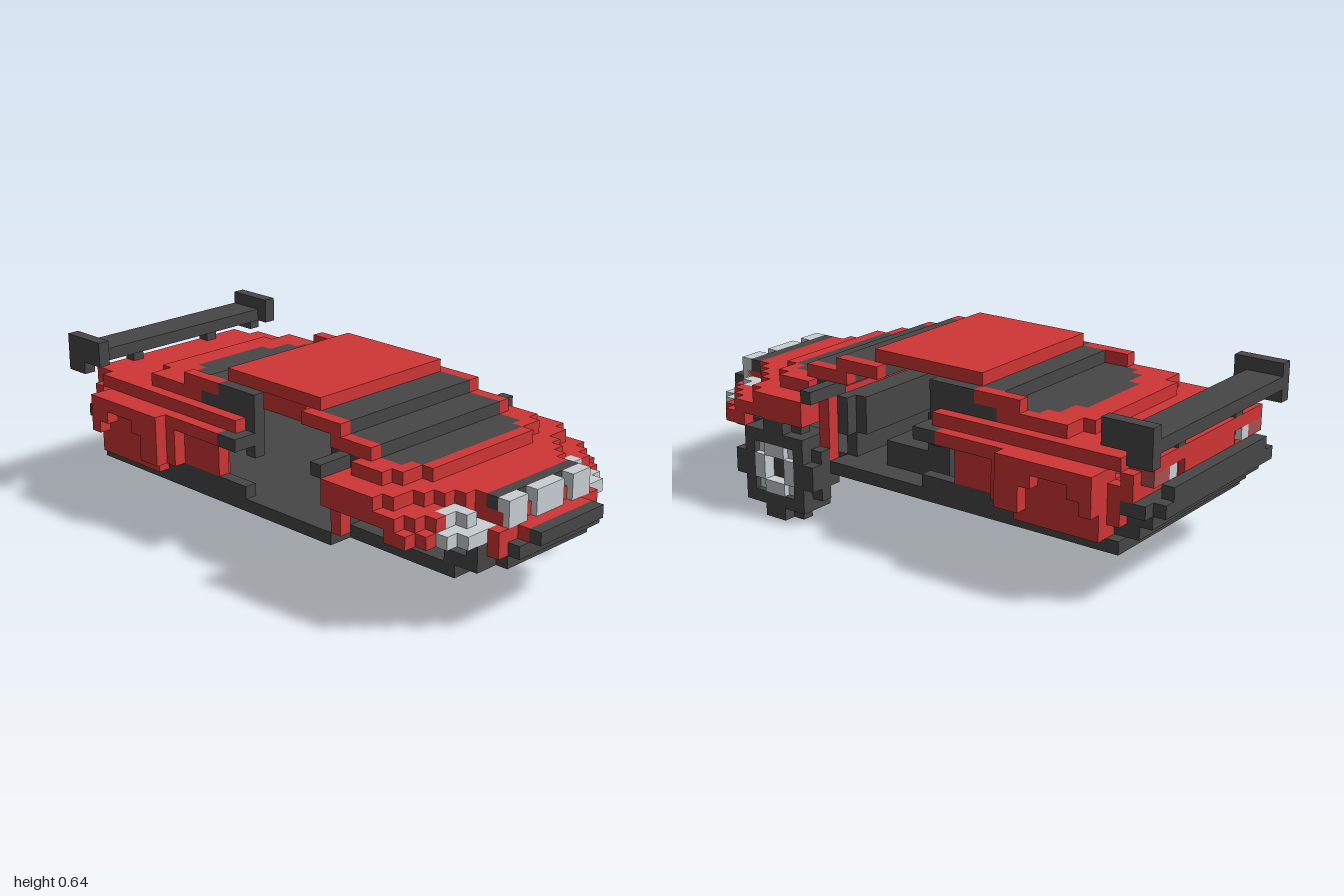
import * as THREE from 'three';

const V = 1 / 22; // one block

export function createModel() {
  const car = new THREE.Group();
  car.name = 'blockCar';
  const mat = (name, color) => {
    const m = new THREE.MeshStandardMaterial({ color });
    m.name = name;
    return m;
  };
  const red = mat('redPaint', 0xd03535);
  const dark = mat('darkTrim', 0x464646);
  const silver = mat('silver', 0xc8cfd2);
  const lampRed = mat('tailLampRed', 0xa85050);

  // Box between block coordinates
  function box(name, m, x0, x1, y0, y1, z0, z1) {
    const mesh = new THREE.Mesh(new THREE.BoxGeometry((x1 - x0) * V, (y1 - y0) * V, (z1 - z0) * V), m);
    mesh.position.set((x0 + x1) / 2 * V, (y0 + y1) / 2 * V, (z0 + z1) / 2 * V);
    mesh.name = name;
    car.add(mesh);
  }
  // Centred slab of half width w
  const slab = (name, m, w, ...r) => box(name, m, -w, w, ...r);
  // Mirrored pair
  const pair = (name, m, x0, x1, ...r) => {
    box(name + 'Left', m, x0, x1, ...r);
    box(name + 'Right', m, -x1, -x0, ...r);
  };

  // Floor
  slab('floor', dark, 8.5, 4, 5, -19, 7);
  slab('frontFloor', dark, 6.5, 4, 5, 7, 17);

  // Front bumper
  slab('frontLip', dark, 6.5, 5, 6, 16, 19);
  slab('frontLipNose', dark, 4.5, 5, 6, 19, 20);
  slab('bumperMiddle', dark, 4.5, 6, 7, 18, 21);
  pair('bumperCorner', dark, 5.5, 6.5, 6, 7, 18, 19);
  pair('bumperCheek', red, 4.5, 5.5, 6, 7, 18, 20);
  slab('bumperTop', red, 4.5, 7, 8, 17, 20);
  pair('bumperTopCheek', red, 4.5, 5.5, 7, 8, 19, 20);
  slab('bumperTopNose', red, 3.5, 7, 8, 20, 21);
  slab('bumperTip', dark, 3.5, 7, 8, 21, 22);

  // Nose, lamps and headlights
  slab('nose', red, 4.5, 8, 9, 17, 19.5);
  slab('noseBase', red, 5.5, 8, 9, 15, 17);
  slab('grille', dark, 4.5, 9, 10, 18, 19);
  pair('spotLamp', silver, 2.5, 4.5, 8, 10, 19, 20);
  slab('centreLamp', silver, 1.5, 8, 10, 19, 20);
  pair('headlightUpper', silver, 6.5, 7.5, 8, 9, 16, 17);
  pair('headlightUpperInner', silver, 5.5, 6.5, 8, 9, 16, 18);
  pair('headlightInner', silver, 4.5, 6.5, 7, 8, 17, 19);
  pair('headlightLower', silver, 6.5, 7.5, 7, 8, 16, 19);
  pair('headlightCorner', silver, 7.5, 8.5, 7, 8, 17, 18);

  // Bonnet in stepped layers
  slab('bonnetLower', red, 8.5, 9, 10, 8, 14);
  slab('bonnetLowerStep', red, 7.5, 9, 10, 14, 15);
  slab('bonnetLowerFront', red, 6.5, 9, 10, 15, 16);
  slab('bonnetStep', red, 5.5, 9, 10, 16, 17);
  slab('bonnetFront', red, 4.5, 9, 10, 17, 18);
  pair('cowl', dark, 6.5, 7.5, 10, 11, 7, 9);
  pair('bonnetEdge', red, 6.5, 7.5, 10, 11, 9, 13);
  pair('bonnetShoulder', red, 7.5, 8.5, 10, 11, 9, 12);
  pair('bonnetCorner', red, 5.5, 6.5, 10, 11, 12, 13);
  slab('bonnetLip', red, 5.5, 10, 11, 13, 14);

  // Front wings
  pair('wing', red, 8.5, 9.5, 8, 10, 8, 14);
  pair('wingFlareTop', red, 9.5, 10.5, 9, 10, 8, 13);
  pair('wingFlare', red, 9.5, 10.5, 8, 9, 8, 15);
  pair('wingShoulder', red, 5.5, 9.5, 8, 9, 14, 16);
  pair('wingFront', red, 7.5, 9.5, 7, 8, 15, 17);
  pair('wingFrontCheek', red, 7.5, 8.5, 8, 9, 16, 17);
  pair('wingFrontFlare', red, 9.5, 10.5, 7, 8, 14, 16);
  pair('wingPanel', red, 7.5, 8.5, 5, 10, 7, 8);
  pair('mirror', dark, 7.5, 10.5, 10, 11, 7, 8);

  // Windscreen steps and pillars
  slab('windscreenTop', dark, 6.5, 12, 13, 3, 7);
  slab('windscreenMiddle', dark, 6.5, 11, 12, 6, 10);
  slab('windscreenLow', dark, 6.5, 10, 11, 9, 12);
  slab('windscreenFoot', dark, 5.5, 10, 11, 12, 13);
  pair('pillarTop', red, 6.5, 7.5, 12, 13, 3, 7);
  pair('pillarLow', red, 6.5, 7.5, 11, 12, 6, 10);

  // Roof
  slab('roof', red, 6.5, 13, 14, -6, 4);

  // Cabin, with one seat
  slab('firewall', dark, 6.5, 5, 7, 6, 7);
  slab('firewallTop', dark, 7.5, 7, 10, 6, 7);
  slab('dashboard', dark, 6.5, 7, 10, 5, 6);
  box('seatCushion', dark, 1.5, 6.5, 5, 7, -2, 3);
  box('seatBack', dark, 1.5, 6.5, 5, 10, -3, -1);

  // Rear glass and surrounding roof
  slab('rearGlassTop', dark, 6.5, 12, 13, -8, -5);
  slab('rearGlassBottom', dark, 6.5, 11, 12, -11, -8);
  slab('rearGlassStep', dark, 5.5, 11, 12, -12, -11);
  slab('rearGlassFoot', dark, 3.5, 11, 12, -13, -12);
  pair('doorPillar', dark, 6.5, 7.5, 8, 13, -3, -2);
  pair('quarterWindowTop', dark, 6.5, 7.5, 12, 13, -6, -3);
  pair('quarterWindow', dark, 6.5, 7.5, 11, 12, -8, -3);
  pair('rearRail', red, 6.5, 7.5, 12, 13, -10, -6);
  pair('rearShoulder', red, 6.5, 7.5, 11, 12, -14, -8);
  pair('rearGlassCorner', red, 5.5, 6.5, 11, 12, -14, -11);
  pair('rearGlassFrame', red, 3.5, 5.5, 11, 12, -14, -12);
  slab('rearGlassSill', red, 3.5, 11, 12, -14, -13);
  slab('deckStep', red, 5.5, 11, 12, -15, -14);

  // Rear deck
  slab('deck', red, 8.5, 10, 11, -19, -12);
  slab('deckEdge', red, 7.5, 10, 11, -21, -19);
  pair('deckSide', red, 6.5, 8.5, 10, 11, -12, -3);

  // Rear wings
  pair('rearWingTop', red, 7.5, 9.5, 9, 10, -18, -4);
  pair('doorCatch', dark, 7.5, 9.5, 9, 10, -4, -2);
  pair('rearWingPanel', red, 7.5, 8.5, 6, 9, -19, -5);
  pair('wheelPanelFront', red, 8.5, 9.5, 6, 9, -11, -9);
  pair('wheelPanel', red, 6.5, 9.5, 5, 9, -18, -11);
  pair('rearFlare', red, 9.5, 10.5, 9, 10, -18, -10);
  pair('flareShoulderFront', red, 9.5, 10.5, 8, 9, -13, -10);
  pair('flareShoulderBack', red, 9.5, 10.5, 8, 9, -18, -16);
  pair('flareFront', red, 9.5, 10.5, 6, 8, -12, -10);
  pair('flareBack', red, 9.5, 10.5, 7, 8, -18, -17);
  pair('sill', dark, 7.5, 8.5, 5, 6, -11, -2);
  pair('innerPanel', red, 6.5, 7.5, 5, 10, -7, -6);

  // Tail
  slab('tailPanel', red, 8.5, 8, 10, -20, -19);
  slab('plateHolder', red, 3.5, 8, 10, -21, -20);
  pair('tailInset', dark, 3.5, 4.5, 8, 10, -20.5, -20);
  pair('reverseLamp', silver, 4.5, 5.5, 9, 10, -21, -20);
  pair('tailLamp', lampRed, 5.5, 7.5, 9, 10, -21, -20);
  pair('tailCorner', dark, 6.5, 8.5, 7, 8, -21, -19);
  slab('rearBumper', dark, 7.5, 7, 8, -22, -21);
  slab('rearBumperTop', dark, 6.5, 8, 9, -22, -21);
  slab('rearBumperCore', dark, 6.5, 7, 8, -21, -19);
  slab('rearBumperLow', dark, 7.5, 6, 7, -21, -18);
  slab('diffuser', dark, 7.5, 5, 6, -20, -18);

  // Rear spoiler
  slab('spoilerBlade', dark, 8.5, 12, 13, -22, -19);
  pair('spoilerEnd', dark, 8.5, 9.5, 12, 14, -22, -18);
  pair('spoilerEndFoot', dark, 8.5, 9.5, 11, 12, -22, -20);
  pair('spoilerStay', dark, 3.5, 4.5, 11, 12, -21, -20);

  // Single fitted wheel: each tyre row is a slice round the open rim
  const treadRows = [2, 3, 4, 4, 4, 4, 3, 2];
  const shoulderRows = [1, 3, 3, 4, 4, 3, 3, 1];
  for (const [x, rows] of [[7.5, shoulderRows], [8.5, treadRows], [9.5, shoulderRows]])
    rows.forEach((h, y) => {
      if (y < 2 || y > 5) box('tyreBand', dark, x, x + 1, y, y + 1, 11 - h, 11 + h);
      else {
        box('tyreFront', dark, x, x + 1, y, y + 1, 13, 11 + h);
        box('tyreBack', dark, x, x + 1, y, y + 1, 11 - h, 9);
      }
    });
  for (const y of [2, 5]) {
    box('rimBar', silver, 8.5, 10.5, y, y + 1, 10, 12);
    for (const z of [9, 12]) box('rimCorner', silver, 8.5, 10, y, y + 1, z, z + 1);
  }
  for (const z of [9, 12]) box('rimPost', silver, 8.5, 10.5, 3, 5, z, z + 1);
  box('hub', dark, 7.5, 9.5, 3, 5, 10, 12);
  box('wheelBack', dark, 7.5, 8.5, 2, 6, 9, 13);

  return car;
}
